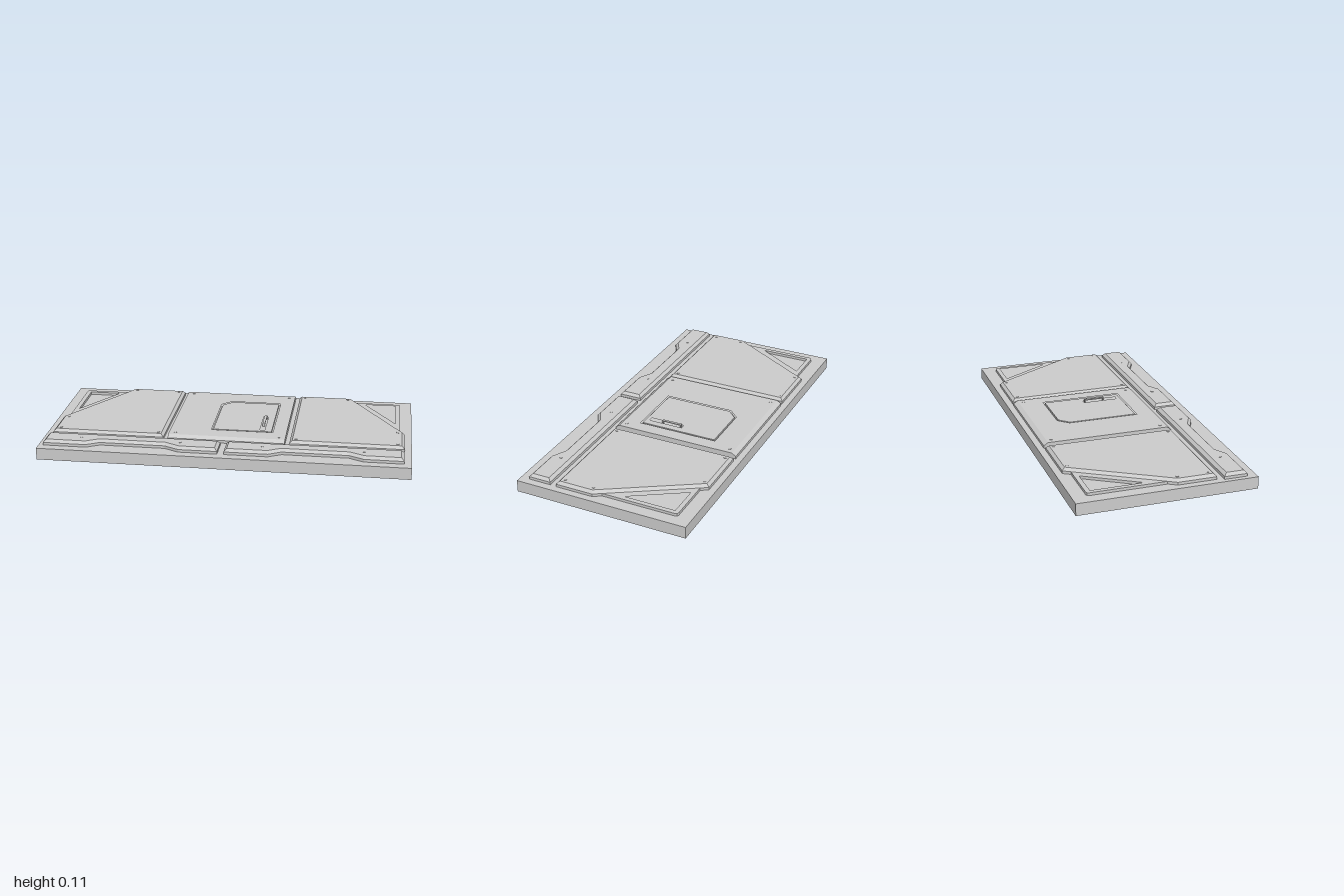
import * as THREE from 'three';

const BASE = 0.065, TOP = 0.095, BEVEL = 0.015;

export function createModel() {
  const group = new THREE.Group();
  const material = new THREE.MeshStandardMaterial({ color: 0xcccccc, flatShading: true });

  const add = (name, geometry, x = 0, y = 0, z = 0) => {
    const mesh = new THREE.Mesh(geometry, material);
    mesh.name = name;
    mesh.position.set(x, y, z);
    group.add(mesh);
    return mesh;
  };
  const box = (name, w, h, d, x, y, z) => add(name, new THREE.BoxGeometry(w, h, d), x, y, z);

  // Plan outlines are given as [x, z] and extruded upwards
  const toVectors = (pts) => pts.map(([x, z]) => new THREE.Vector2(x, -z));
  const plate = (name, pts, y0, y1, holes = []) => {
    const shape = new THREE.Shape(toVectors(pts));
    holes.forEach((h) => shape.holes.push(new THREE.Path(toVectors(h))));
    const geometry = new THREE.ExtrudeGeometry(shape, { depth: y1 - y0, bevelEnabled: false });
    return add(name, geometry.rotateX(-Math.PI / 2), 0, y0, 0);
  };
  // The lower bevel is sunk into the slab
  const bevelledPlate = (name, pts) => {
    const geometry = new THREE.ExtrudeGeometry(new THREE.Shape(toVectors(pts)), {
      depth: TOP - BEVEL - BASE, bevelThickness: BEVEL, bevelSize: BEVEL,
      bevelOffset: -BEVEL, bevelSegments: 1,
    });
    return add(name, geometry.rotateX(-Math.PI / 2), 0, BASE, 0);
  };
  const rect = (x0, x1, z0, z1) => [[x0, z0], [x1, z0], [x1, z1], [x0, z1]];
  const screwGeometry = new THREE.CylinderGeometry(0.008, 0.008, 0.006, 10);
  const screw = (x, z) => add('screw', screwGeometry, x, TOP - 0.001, z);

  // Slab
  box('baseSlab', 2, BASE, 0.96, 0, BASE / 2, 0);

  // Side panels and the triangular corner plates behind them
  for (const s of [-1, 1]) {
    const side = s > 0 ? 'left' : 'right';
    const flip = (pts) => pts.map(([x, z]) => [s * x, z]);
    bevelledPlate(side + 'Panel', flip([
      [0.345, -0.443], [0.652, -0.443], [0.962, 0.06], [0.962, 0.27], [0.345, 0.27],
    ]));
    flip([[0.378, -0.41], [0.63, -0.41], [0.925, 0.07], [0.925, 0.235], [0.378, 0.235]])
      .forEach(([x, z]) => screw(x, z));
    plate(side + 'CornerPlate', flip([
      [0.67, -0.405], [0.92, -0.405], [0.931, -0.401], [0.935, -0.39], [0.935, 0.03],
    ]), BASE, 0.08, [flip([[0.735, -0.38], [0.91, -0.38], [0.91, -0.1]])]);
  }

  // Front strips, each with a shallow notch
  for (const x of [-0.975, 0.01]) {
    bevelledPlate('frontStrip', [
      [0, 0.305], [0.95, 0.305], [0.95, 0.43], [0.74, 0.43],
      [0.66, 0.39], [0.305, 0.39], [0.235, 0.43], [0, 0.43],
    ].map(([px, z]) => [px + x, z]));
    screw(x + 0.2, 0.365);
    screw(x + 0.74, 0.365);
  }

  // Centre panel around the door opening, with sloping ends
  const door = (d) => {
    const c = 0.055 - d * 0.4;
    const x0 = -0.095 + d, x1 = 0.245 - d, z0 = -0.29 + d, z1 = 0.16 - d;
    return [[x0 + c, z0], [x1, z0], [x1, z1], [x0, z1], [x0, z0 + c]];
  };
  plate('centrePanel', rect(-0.32, 0.32, -0.422, 0.253), BASE, TOP, [door(0)]);
  for (const [inner, outer] of [[-0.422, -0.445], [0.253, 0.275]]) {
    const profile = new THREE.Shape([
      new THREE.Vector2(-inner, BASE), new THREE.Vector2(-outer, BASE),
      new THREE.Vector2(-outer, TOP - BEVEL), new THREE.Vector2(-inner, TOP),
    ]);
    const geometry = new THREE.ExtrudeGeometry(profile, { depth: 0.64, bevelEnabled: false });
    add('panelEnd', geometry.rotateY(Math.PI / 2), -0.32, 0, 0);
  }
  for (const x of [-0.285, 0.285]) for (const z of [-0.395, 0.225]) screw(x, z);

  // Door, separated by a groove, with a slot for the handle
  plate('doorFloor', door(0), BASE, 0.085);
  plate('door', door(0.009), 0.085, TOP, [rect(0.17, 0.197, -0.067, 0.13)]);

  // Handle
  box('handleBar', 0.014, 0.005, 0.115, 0.184, 0.1055, -0.003);
  for (const z of [-0.058, 0.052]) box('handlePost', 0.014, 0.02, 0.005, 0.184, 0.094, z);

  return group;
}
